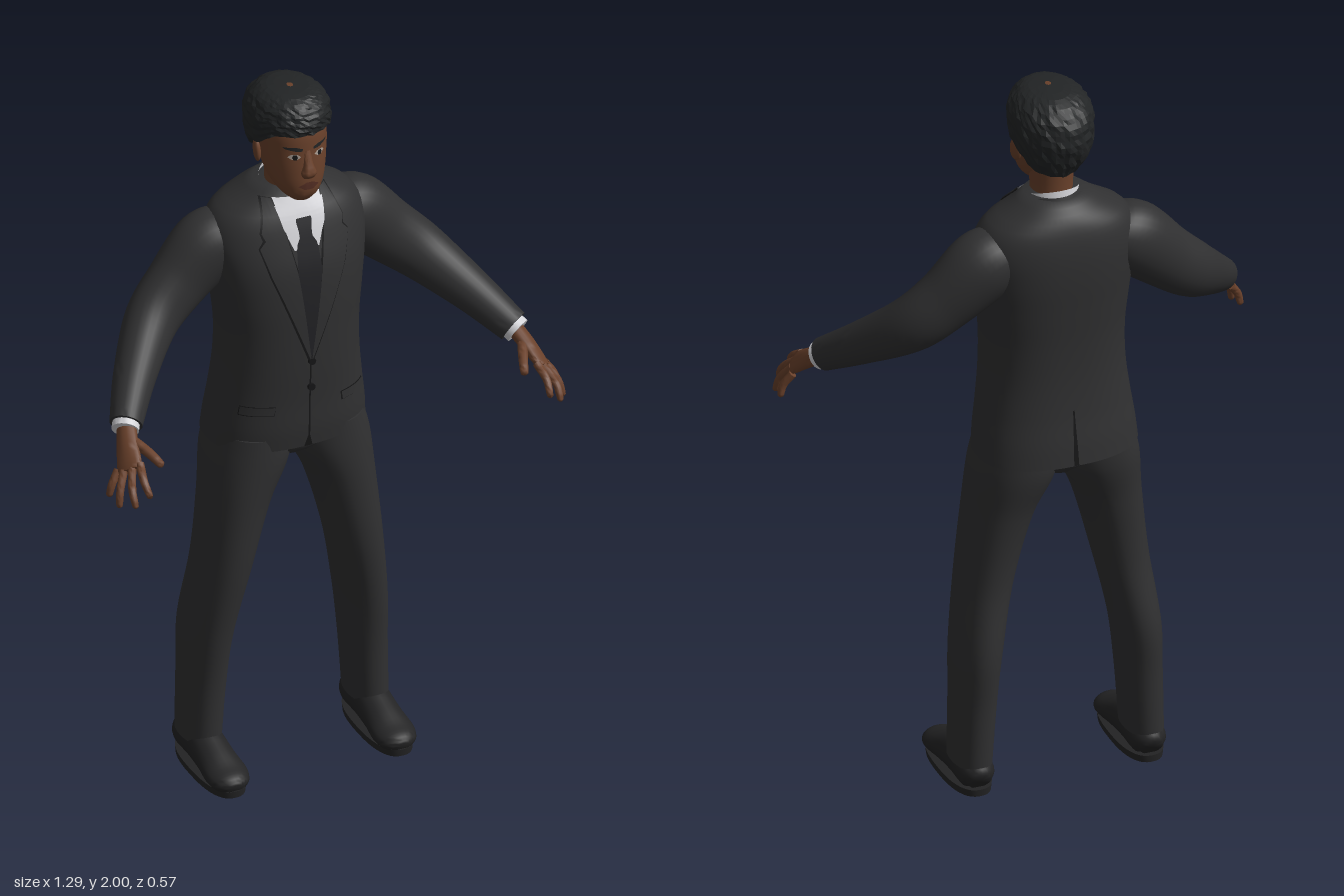
import * as THREE from 'three';
import { toCreasedNormals } from 'three/addons/utils/BufferGeometryUtils.js';

const mat = (name, color) => {
  const m = new THREE.MeshStandardMaterial({ color, side: THREE.DoubleSide });
  m.name = name;
  return m;
};
const V = (x, y, z) => new THREE.Vector3(x, y, z);

// Interpolates rows of numbers by their first entry, smoothly or linearly
function sample(rows, k, linear = false) {
  let i = 0;
  while (i < rows.length - 2 && k > rows[i + 1][0]) i++;
  const a = rows[i], b = rows[i + 1], p = rows[i - 1] || a, q = rows[i + 2] || b;
  const h = b[0] - a[0], t = THREE.MathUtils.clamp((k - a[0]) / h, 0, 1);
  return a.map((_, c) => {
    if (linear) return a[c] + (b[c] - a[c]) * t;
    const m0 = (b[c] - p[c]) / (b[0] - p[0]) * h, m1 = (q[c] - a[c]) / (q[0] - a[0]) * h;
    const t2 = t * t, t3 = t2 * t;
    return (2 * t3 - 3 * t2 + 1) * a[c] + (t3 - 2 * t2 + t) * m0 + (3 * t2 - 2 * t3) * b[c] + (t3 - t2) * m1;
  });
}

// Skins a grid of points; closed grids wrap around, capped grids get end fans
function skin(rows, closed, cap, crease = 1) {
  const n = rows[0].length, pos = [], idx = [];
  if (cap) {
    const mid = r => r.reduce((s, p) => s.add(p), V(0, 0, 0)).divideScalar(n);
    const fan = r => { const c = mid(r); return r.map(() => c); };
    rows = [fan(rows[0]), ...rows, fan(rows[rows.length - 1])];
  }
  rows.forEach(r => r.forEach(p => pos.push(p.x, p.y, p.z)));
  for (let i = 0; i < rows.length - 1; i++) for (let j = 0; j < (closed ? n : n - 1); j++) {
    const a = i * n + j, b = i * n + (j + 1) % n, c = a + n, d = b + n;
    if (!(cap && i === 0)) idx.push(a, b, c);
    if (!(cap && i === rows.length - 2)) idx.push(b, d, c);
    else idx.push(a, b, c);
  }
  const g = new THREE.BufferGeometry();
  g.setAttribute('position', new THREE.Float32BufferAttribute(pos, 3));
  // the last fan needs each triangle only once
  g.setIndex(idx);
  return toCreasedNormals(g, crease);
}

// Point on an upright body whose rows are [y, cx, halfWidth, zFront, zBack, power]
function bodyPoint(rows, y, th, s = 1, k = 1) {
  const [, cx, rx, zf, zb, n = 2] = sample(rows, y);
  const e = 2 / n, f = v => Math.sign(v) * Math.abs(v) ** e;
  return V(s * cx + k * rx * f(Math.sin(th)), y, (zf + zb) / 2 + k * (zf - zb) / 2 * f(Math.cos(th)));
}
function body(rows, s = 1, steps = 30, seg = 40) {
  const y0 = rows[0][0], y1 = rows[rows.length - 1][0], grid = [];
  for (let i = 0; i <= steps; i++) {
    const y = y0 + (y1 - y0) * i / steps;
    grid.push(Array.from({ length: seg }, (_, j) => bodyPoint(rows, y, j / seg * Math.PI * 2, s)));
  }
  return skin(grid, true, true);
}

// Limb along a path; rows are [key, x, y, z, halfSide, halfDepth]
function limb(rows, side, s = 1, steps = 16, seg = 16) {
  const k0 = rows[0][0], k1 = rows[rows.length - 1][0], pts = [];
  for (let i = 0; i <= steps; i++) pts.push(sample(rows, k0 + (k1 - k0) * i / steps));
  const C = pts.map(p => V(p[1] * s, p[2], p[3]));
  const grid = C.map((c, i) => {
    const t = C[Math.min(i + 1, steps)].clone().sub(C[Math.max(i - 1, 0)]).normalize();
    const u = V(side[0] * s, side[1], side[2]);
    u.addScaledVector(t, -u.dot(t)).normalize();
    const v = u.clone().cross(t);
    return Array.from({ length: seg }, (_, j) => {
      const th = j / seg * Math.PI * 2;
      return c.clone().addScaledVector(u, pts[i][4] * Math.sin(th)).addScaledVector(v, pts[i][5] * Math.cos(th));
    });
  });
  return skin(grid, true, true);
}

// Thin plate hugging the front or back of a body; edges are [y, x0, x1]
function plate(rows, edges, lift, s = 1, back = false) {
  const y0 = edges[0][0], y1 = edges[edges.length - 1][0], grid = [], N = 24, M = 8;
  for (let i = 0; i <= N; i++) {
    const y = y0 + (y1 - y0) * i / N;
    const [, a, b] = sample(edges, y, true), [, cx, rx, zf, zb, n = 2] = sample(rows, y);
    const row = [];
    for (let j = 0; j <= M; j++) {
      const x = s * (a + (b - a) * j / M);
      const d = Math.max(0, 1 - Math.abs((x - cx) / rx) ** n) ** (1 / n) * (zf - zb) / 2 + lift;
      row.push(V(x, y, (zf + zb) / 2 + (back ? -d : d)));
    }
    grid.push((s < 0) !== back ? row.reverse() : row);
  }
  return skin(grid, false, false, 1.2);
}

// Collar band around the neck, from angle a0 to a1 (0 is the front)
function band(a0, a1, r, flare, top, tilt, h) {
  const grid = [0, 0.5, 1].map(f => Array.from({ length: 33 }, (_, j) => {
    const th = a0 + (a1 - a0) * j / 32, k = r + flare * (1 - f);
    return V(k * Math.sin(th), top - tilt * Math.cos(th) - h * (1 - f), -0.105 + k * Math.cos(th));
  }));
  return skin(grid, false, false);
}

export function createModel() {
  const model = new THREE.Group();
  model.name = 'suitedMan';
  const suit = mat('suit charcoal', 0x303031), seam = mat('seam black', 0x161617), shirt = mat('shirt white', 0xd2d2d6);
  const skinM = mat('skin brown', 0x6a412b), lipM = mat('lip brown', 0x552f24), hairM = mat('hair black', 0x222425);
  const shoeM = mat('shoe black', 0x232324), tieM = mat('tie dark grey', 0x222225), eyeM = mat('eye white', 0xa89c92);
  const add = (name, geo, m) => {
    const o = new THREE.Mesh(geo, m);
    o.name = name;
    model.add(o);
    return o;
  };

  // Jacket body
  const torso = [
    [0.965, 0, 0.218, 0.028, -0.276, 2.4], [1.02, 0, 0.213, 0.034, -0.27, 2.4], [1.1, 0, 0.202, 0.036, -0.258, 2.4],
    [1.2, 0, 0.191, 0.042, -0.25, 2.4], [1.3, 0, 0.19, 0.045, -0.25, 2.4], [1.4, 0, 0.2, 0.045, -0.256, 2.4],
    [1.5, 0, 0.212, 0.036, -0.262, 2.4], [1.58, 0, 0.217, 0.014, -0.26, 2.3], [1.64, 0, 0.19, -0.008, -0.248, 2.2],
    [1.68, 0, 0.125, -0.03, -0.226, 2], [1.71, 0, 0.08, -0.05, -0.19, 2]];
  add('jacketBody', body(torso, 1, 48, 56), suit);
  add('jacketCollar', band(0.75, Math.PI * 2 - 0.75, 0.084, 0.02, 1.695, 0.022, 0.05), suit);

  // Shirt front, tie and lapels
  add('shirtCollar', band(0.12, Math.PI * 2 - 0.12, 0.07, 0.008, 1.702, 0.026, 0.05), shirt);
  add('shirtFront', plate(torso, [[1.56, -0.035, 0.035], [1.62, -0.058, 0.058], [1.69, -0.066, 0.066]], 0.004), shirt);
  add('tie', plate(torso, [[1.25, -0.004, 0.004], [1.5, -0.034, 0.034], [1.57, -0.03, 0.03], [1.6, -0.013, 0.013],
    [1.606, -0.018, 0.018], [1.64, -0.023, 0.023]], 0.008), tieM);
  for (const s of [1, -1]) {
    add('shirtCollarWing', plate(torso, [[1.585, 0.036, 0.04], [1.62, 0.026, 0.058], [1.675, 0.012, 0.068]], 0.009, s), shirt);
    add('lapelShadow', plate(torso, [[1.235, 0, 0.008], [1.5, 0.03, 0.107], [1.585, 0.047, 0.13], [1.59, 0.047, 0.104],
      [1.6, 0.05, 0.124], [1.69, 0.068, 0.094]], 0.005, s), seam);
    add('lapel', plate(torso, [[1.24, 0.001, 0.004], [1.5, 0.034, 0.103], [1.58, 0.049, 0.126], [1.588, 0.05, 0.098],
      [1.605, 0.053, 0.119], [1.69, 0.07, 0.09]], 0.009, s), suit);
    add('pocketShadow', plate(torso, [[1.078, 0.095, 0.178], [1.106, 0.092, 0.174]], 0.004, s), seam);
    add('pocketFlap', plate(torso, [[1.082, 0.098, 0.177], [1.106, 0.094, 0.174]], 0.008, s), suit);
  }
  add('frontSeam', plate(torso, [[0.967, -0.012, 0.012], [1.0, -0.002, 0.003], [1.235, -0.002, 0.002]], 0.003), seam);
  add('backVent', plate(torso, [[0.967, -0.007, 0.007], [1.12, -0.002, 0.002]], 0.003, 1, true), seam);
  for (const y of [1.15, 1.23]) {
    const b = add('jacketButton', new THREE.CylinderGeometry(0.01, 0.01, 0.008, 16).rotateX(Math.PI / 2), seam);
    b.position.set(0.003, y, sample(torso, y)[3] + 0.004);
  }

  // Trousers, shoes, sleeves and hands
  add('trouserSeat', body([[0.9, 0, 0.05, -0.05, -0.19], [0.94, 0, 0.12, 0, -0.235], [1.0, 0, 0.18, 0.01, -0.24]], 1, 8, 32), suit);
  const leg = [[0.078, 0.238, 0.052, -0.045, -0.214, 2.2], [0.25, 0.23, 0.056, -0.038, -0.22, 2.2], [0.4, 0.22, 0.061, -0.02, -0.23, 2.2],
    [0.6, 0.187, 0.07, 0.006, -0.208, 2.2], [0.8, 0.148, 0.088, 0.016, -0.222, 2.2], [0.92, 0.114, 0.111, 0.02, -0.247, 2.2],
    [1.0, 0.105, 0.1, 0.018, -0.25, 2.2]];
  const shoe = [[0, 0.238, 0.042, -0.207, 0.03, 0.03], [1, 0.238, 0.055, -0.18, 0.048, 0.048], [2, 0.238, 0.062, -0.1, 0.05, 0.056],
    [3, 0.238, 0.05, -0.025, 0.052, 0.045], [4, 0.238, 0.038, 0.04, 0.058, 0.032], [5, 0.238, 0.031, 0.08, 0.046, 0.026],
    [6, 0.238, 0.026, 0.098, 0.02, 0.014]];
  const sole = [[0, 0.238, 0.058, 0.098, -0.208, 2.5], [0.02, 0.238, 0.06, 0.1, -0.21, 2.5]];
  const arm = [[0, 0.15, 1.56, -0.135, 0.08, 0.085], [0.2, 0.21, 1.53, -0.14, 0.098, 0.088], [0.4, 0.3, 1.45, -0.13, 0.086, 0.073],
    [0.6, 0.387, 1.375, -0.098, 0.076, 0.068], [0.8, 0.48, 1.29, 0, 0.058, 0.056], [1, 0.552, 1.217, 0.098, 0.045, 0.043]];
  const cuff = [[0, 0.54, 1.23, 0.08, 0.036, 0.036], [1, 0.56, 1.208, 0.11, 0.037, 0.036]];
  const across = [0.043, -0.03, -0.05];
  const palm = [[0, 0.55, 1.22, 0.095, 0.026, 0.022], [0.4, 0.57, 1.185, 0.145, 0.031, 0.02], [0.8, 0.586, 1.152, 0.19, 0.037, 0.015],
    [1, 0.591, 1.144, 0.203, 0.032, 0.01]];
  // [knuckle, middle, tip]
  const fingers = {
    indexFinger: [[0.566, 1.163, 0.21], [0.574, 1.135, 0.252], [0.57, 1.1, 0.285]],
    middleFinger: [[0.585, 1.15, 0.203], [0.604, 1.112, 0.245], [0.606, 1.072, 0.272]],
    ringFinger: [[0.601, 1.14, 0.188], [0.624, 1.1, 0.215], [0.633, 1.057, 0.228]],
    littleFinger: [[0.608, 1.133, 0.168], [0.63, 1.1, 0.178], [0.639, 1.066, 0.178]],
    thumb: [[0.556, 1.195, 0.145], [0.532, 1.178, 0.2], [0.516, 1.16, 0.242]],
  };
  for (const s of [1, -1]) {
    add('trouserLeg', body(leg, s, 36, 32), suit);
    add('shoe', limb(shoe, [1, 0, 0], s, 24, 24), shoeM);
    add('shoeSole', body(sole, s, 1, 40), shoeM);
    add('sleeve', limb(arm, [0.4, 1, 0], s, 32, 28), suit);
    add('shirtCuff', limb(cuff, [0, 1, 0], s, 2, 24), shirt);
    add('palm', limb(palm, across, s, 12, 16), skinM);
    for (const [name, p] of Object.entries(fingers)) {
      const r = name === 'thumb' ? 0.014 : 0.0115;
      const end = p[2].map((v, i) => v * 0.92 + p[1][i] * 0.08);
      add(name, limb([[0, ...p[0], r, r], [1, ...p[1], r * 0.92, r * 0.92], [1.85, ...end, r * 0.7, r * 0.7],
        [2, ...p[2], r * 0.3, r * 0.3]], across, s, 12, 10), skinM);
    }
  }

  // Neck, head and face
  add('neck', body([[1.6, 0, 0.062, -0.04, -0.17], [1.7, 0, 0.056, -0.045, -0.16], [1.8, 0, 0.06, -0.04, -0.165]], 1, 10, 28), skinM);
  const head = [[1.7, 0, 0.028, 0.012, -0.05, 2.1], [1.72, 0, 0.05, 0.027, -0.08, 2.1], [1.75, 0, 0.069, 0.033, -0.125, 2.1],
    [1.8, 0, 0.083, 0.032, -0.165, 2.1], [1.85, 0, 0.09, 0.028, -0.19, 2.1], [1.9, 0, 0.092, 0.024, -0.2, 2.1],
    [1.95, 0, 0.08, 0.005, -0.185, 2.1], [1.985, 0, 0.04, -0.03, -0.13, 2.1]];
  add('head', body(head, 1, 32, 40), skinM);
  add('nose', limb([[0, 0, 1.856, 0.022, 0.009, 0.008], [1, 0, 1.82, 0.031, 0.013, 0.012], [2, 0, 1.795, 0.034, 0.021, 0.017],
    [3, 0, 1.78, 0.03, 0.015, 0.008]], [1, 0, 0], 1, 12, 16), skinM);
  add('lips', plate(head, [[1.746, -0.012, 0.012], [1.757, -0.029, 0.029], [1.768, -0.008, 0.008]], 0.005), lipM);
  for (const s of [1, -1]) {
    add('eye', plate(head, [[1.836, 0.028, 0.042], [1.843, 0.019, 0.052], [1.85, 0.027, 0.044]], 0.002, s), eyeM);
    add('iris', plate(head, [[1.836, 0.031, 0.039], [1.843, 0.028, 0.042], [1.85, 0.031, 0.039]], 0.004, s), seam);
    add('eyebrow', plate(head, [[1.86, 0.016, 0.03], [1.867, 0.015, 0.058], [1.872, 0.03, 0.062]], 0.004, s), hairM);
    const ear = add('ear', new THREE.SphereGeometry(1, 16, 12), skinM);
    ear.scale.set(0.011, 0.034, 0.021);
    ear.position.set(s * 0.091, 1.825, -0.085);
    ear.rotation.set(-0.15, s * 0.3, 0);
  }

  // Short curly hair: an uneven faceted cap cut along the hairline
  let seed = 7;
  const rand = () => (seed = (seed * 16807) % 2147483647) / 2147483647;
  const hair = [[1.76, 0, 0.07, 0, -0.175], [1.82, 0, 0.095, 0.02, -0.215], [1.88, 0, 0.107, 0.03, -0.234],
    [1.94, 0, 0.105, 0.034, -0.224], [1.975, 0, 0.085, 0.014, -0.19], [1.993, 0, 0.052, -0.018, -0.148], [1.998, 0, 0.008, -0.07, -0.09]];
  const line = [[0, 1.905], [0.8, 1.9], [1.25, 1.86], [1.7, 1.845], [2.2, 1.795], [3.15, 1.775]];
  const rows = [];
  for (let i = -1; i <= 18; i++) rows.push(Array.from({ length: 56 }, (_, j) => {
    const th = j / 56 * Math.PI * 2, h = sample(line, Math.min(th, Math.PI * 2 - th))[1];
    const y = h + (1.998 - h) * Math.sin(Math.max(i, 0) / 18 * Math.PI / 2);
    return bodyPoint(hair, y, th, 1, i < 0 ? 0.84 : 0.975 + 0.055 * rand());
  }));
  add('hair', skin(rows, true, false, 0.05), hairM);

  return model;
}
